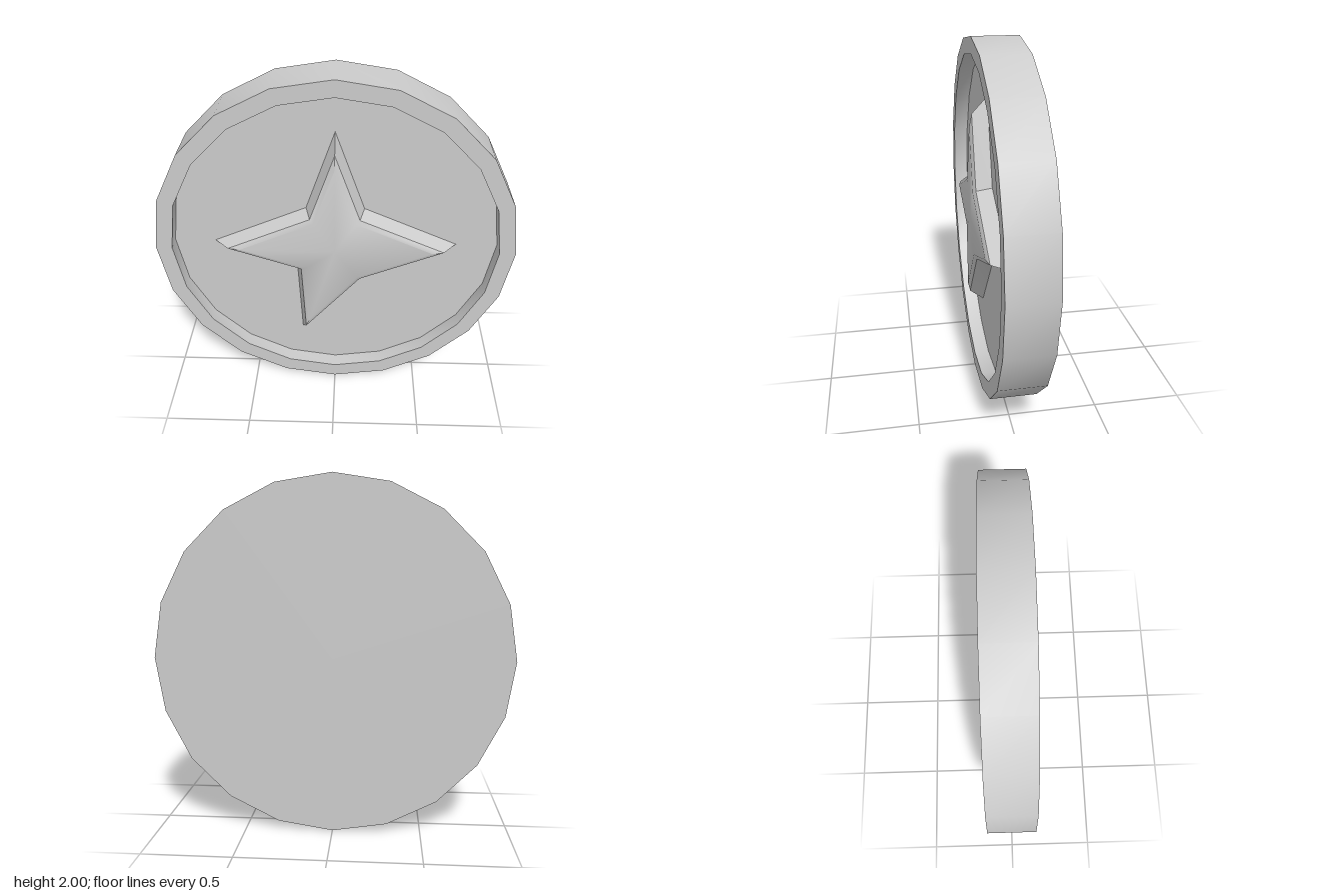
import * as THREE from 'three';
import { toCreasedNormals } from 'three/addons/utils/BufferGeometryUtils.js';

const FLOOR = 0.035, RIM = 0.12, TOP = 0.135;

// Moves every edge of a counter-clockwise outline inward by d, with mitred corners
function inset(outline, d) {
  const n = outline.length;
  return outline.map((p, i) => {
    const a = p.clone().sub(outline[(i + n - 1) % n]).normalize();
    const b = outline[(i + 1) % n].clone().sub(p).normalize();
    const na = new THREE.Vector2(-a.y, a.x), nb = new THREE.Vector2(-b.y, b.x);
    return p.clone().addScaledVector(na.clone().add(nb), d / (1 + na.dot(nb)));
  });
}

// Raised star: stacked inset outlines closed by a fan at the centre
function starGeometry() {
  const outline = [
    [0.68, 0], [0.16, 0.23], [0, 0.69], [-0.16, 0.23],
    [-0.68, 0], [-0.22, -0.155], [-0.2, -0.65], [0.16, -0.22],
  ].map(([x, y]) => new THREE.Vector2(x, y));
  const layers = [[0, FLOOR], [0.03, RIM], [0.055, TOP]];
  const n = outline.length, positions = [], index = [];
  for (const [d, z] of layers) {
    for (const p of inset(outline, d)) positions.push(p.x, p.y, z);
  }
  const centre = positions.length / 3;
  positions.push(0, 0, TOP);
  for (let i = 0; i < n; i++) {
    const j = (i + 1) % n;
    for (let k = 0; k < layers.length - 1; k++) {
      const lo = k * n, hi = lo + n;
      index.push(lo + i, lo + j, hi + j, lo + i, hi + j, hi + i);
    }
    const last = (layers.length - 1) * n;
    index.push(last + i, last + j, centre);
  }
  const geometry = new THREE.BufferGeometry();
  geometry.setAttribute('position', new THREE.Float32BufferAttribute(positions, 3));
  geometry.setIndex(index);
  return toCreasedNormals(geometry, 0.6);
}

export function createModel() {
  const group = new THREE.Group();
  group.name = 'starCoin';
  const material = new THREE.MeshStandardMaterial({ color: 0xcccccc });

  // Twenty-sided disc with a raised rim around a sunken face
  const profile = [
    [0, -TOP], [1, -TOP], [1, RIM], [0.91, RIM], [0.91, FLOOR], [0, FLOOR],
  ].map(([r, h]) => new THREE.Vector2(r, h));
  const discGeometry = toCreasedNormals(new THREE.LatheGeometry(profile, 20), 0.5);
  discGeometry.rotateX(Math.PI / 2);
  const disc = new THREE.Mesh(discGeometry, material);
  disc.name = 'coinDisc';

  // Lopsided four-pointed star on the sunken face
  const star = new THREE.Mesh(starGeometry(), material);
  star.name = 'star';

  disc.position.y = star.position.y = 1;
  group.add(disc, star);
  return group;
}
